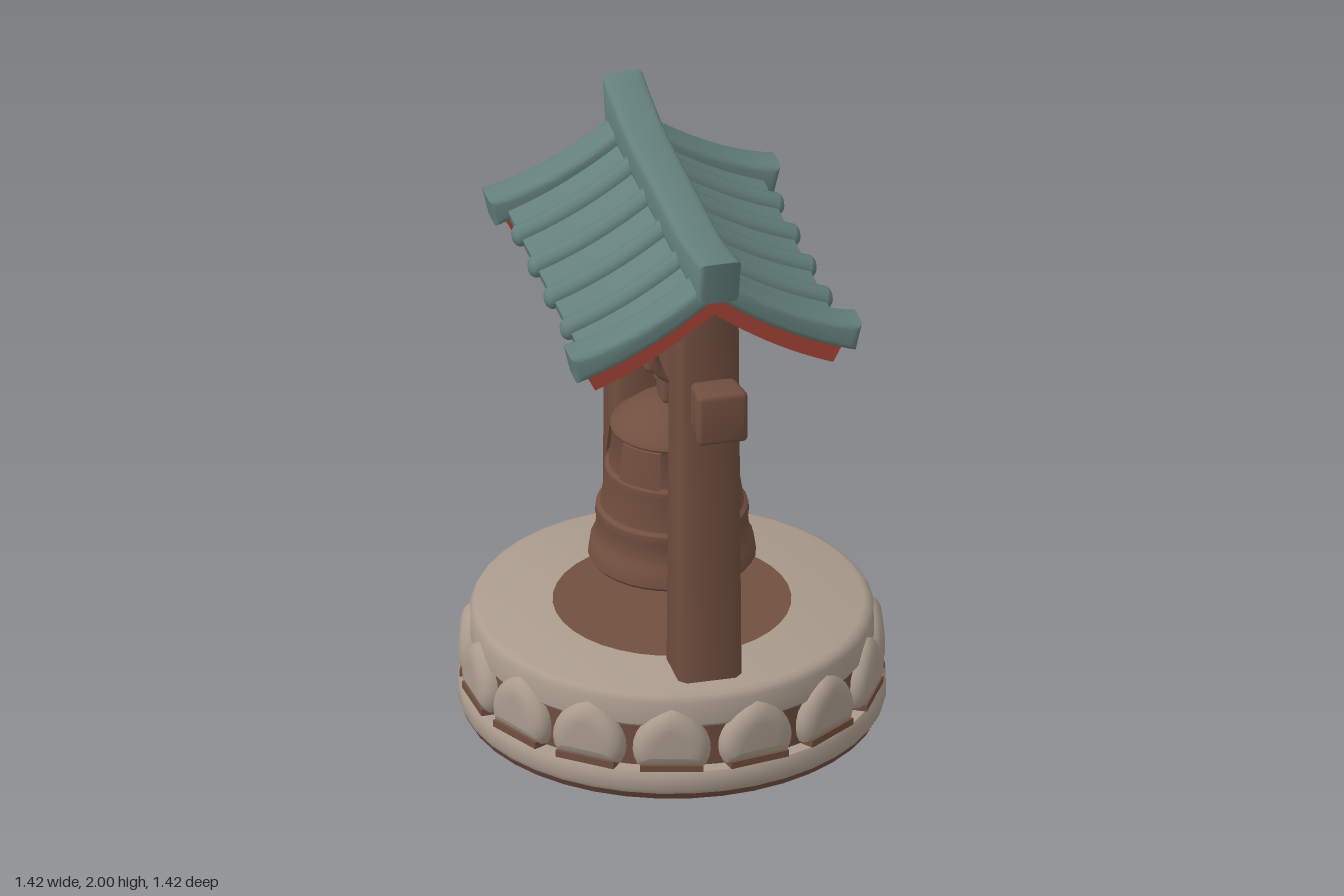
import * as THREE from 'three';
import { toCreasedNormals } from 'three/addons/utils/BufferGeometryUtils.js';
import { RoundedBoxGeometry } from 'three/addons/geometries/RoundedBoxGeometry.js';

function paint(name, color) {
  const m = new THREE.MeshStandardMaterial({ color, side: THREE.DoubleSide });
  m.name = name;
  return m;
}

const V2 = (x, y) => new THREE.Vector2(x, y);
const V3 = (x, y, z) => new THREE.Vector3(x, y, z);

export function createModel() {
  const stone = paint('stone', 0xaa9b8d);
  const wood = paint('brown', 0x714f3f);
  const tile = paint('teal tile', 0x64807c);
  const red = paint('red trim', 0xa34434);

  const model = new THREE.Group();
  const add = (name, geo, mat, x = 0, y = 0, z = 0) => {
    const mesh = new THREE.Mesh(geo, mat);
    mesh.name = name;
    mesh.position.set(x, y, z);
    model.add(mesh);
    return mesh;
  };
  const lathe = (pts, seg = 40, start = 0, len = Math.PI * 2) =>
    toCreasedNormals(new THREE.LatheGeometry(pts.map(p => V2(...p)), seg, start, len), 0.7);
  const extrude = (shape, depth, bevel) => {
    const g = new THREE.ExtrudeGeometry(shape, {
      depth: depth - 2 * bevel, bevelEnabled: bevel > 0, bevelThickness: bevel,
      bevelSize: bevel, bevelOffset: -bevel, bevelSegments: 3, curveSegments: 8,
    });
    g.translate(0, 0, bevel - depth / 2);
    return toCreasedNormals(g, 0.7);
  };
  // Move every vertex by a rule, then refresh the normals
  const reshape = (geo, rule, crease = 0.6) => {
    const p = geo.attributes.position, v = V3(0, 0, 0);
    for (let i = 0; i < p.count; i++) {
      rule(v.fromBufferAttribute(p, i));
      p.setXYZ(i, v.x, v.y, v.z);
    }
    geo.computeVertexNormals();
    return toCreasedNormals(geo, crease);
  };

  // Hollow round base
  add('baseFootEdge', lathe([[0.69, 0], [0.703, 0.025]]), wood);
  add('baseFoot', lathe([[0.645, 0.1], [0.645, 0.012], [0.655, 0.003], [0.69, 0.003], [0.702, 0.025], [0.708, 0.04],
    [0.708, 0.085], [0.697, 0.103], [0.65, 0.103]]), stone);
  add('drumBand', lathe([[0.652, 0.1], [0.656, 0.25]]), wood);
  add('drum', lathe([[0.656, 0.25], [0.668, 0.262], [0.668, 0.345], [0.655, 0.365], [0.635, 0.372], [0, 0.372]]), stone);
  add('drumInside', lathe([[0.645, 0.05], [0.645, 0.35], [0, 0.35]]), stone);
  add('floorPatch', new THREE.CircleGeometry(0.395, 36).rotateX(-Math.PI / 2), wood, 0, 0.376, 0);
  add('floorPatchBelow', new THREE.CircleGeometry(0.395, 36).rotateX(Math.PI / 2), wood, 0, 0.346, 0);

  // Lotus petals around the drum, hollow behind
  const petal = (w, h) => {
    const s = new THREE.Shape();
    s.moveTo(-w * 0.84, 0);
    s.lineTo(w * 0.84, 0);
    s.bezierCurveTo(w * 1.16, h * 0.3, w * 0.9, h * 0.8, 0, h);
    s.bezierCurveTo(-w * 0.9, h * 0.8, -w * 1.16, h * 0.3, -w * 0.84, 0);
    return s;
  };
  const petalGeo = reshape(new THREE.ExtrudeGeometry(petal(0.133, 0.212), {
    depth: 0.012, bevelThickness: 0.047, bevelSize: 0.06, bevelOffset: -0.06, bevelSegments: 5, curveSegments: 8,
  }), v => { v.z = Math.max(v.z, 0); }, 0.9);
  const hollowGeo = new THREE.ShapeGeometry(petal(0.115, 0.2), 8);
  const rimGeo = new THREE.BoxGeometry(0.21, 0.024, 0.05);
  for (let i = 0; i < 15; i++) {
    const t = THREE.MathUtils.degToRad(12 + 24 * i);
    const a = t - 0.03 * Math.cos(t) + 0.037 * Math.sin(t), s = Math.sin(a), c = Math.cos(a);
    add('petal', petalGeo, stone, s * 0.643, 0.113, c * 0.643).rotation.y = a;
    add('petalHollow', hollowGeo, wood, s * 0.627, 0.105, c * 0.627).rotation.y = a;
    add('petalRim', rimGeo, wood, s * 0.67, 0.115, c * 0.67).rotation.y = a;
  }

  // Chamfered, tapering posts
  const rect = (w, d, c) => new THREE.Shape([
    V2(-w + c, -d), V2(w - c, -d), V2(w, -d + c), V2(w, d - c),
    V2(w - c, d), V2(-w + c, d), V2(-w, d - c), V2(-w, -d + c)]);
  const postGeo = reshape(extrude(rect(0.108, 0.104, 0.025), 1.45, 0).rotateX(-Math.PI / 2), v => {
    const t = (v.y + 0.725) / 1.45;
    v.x *= 1 - 0.06 * t;
    v.z *= 1 - 0.2 * t;
  }, 0.9);
  for (const s of [1, -1]) add('post', postGeo, wood, -0.008 * s, 1.055, 0.468 * s);

  // Cross beam with flared ends and centre block
  add('beam', new RoundedBoxGeometry(0.15, 0.165, 1.2, 2, 0.02), wood, 0, 1.412, 0);
  add('beamBlock', new RoundedBoxGeometry(0.24, 0.23, 0.2, 2, 0.025), wood, 0.005, 1.397, 0);
  for (const s of [1, -1]) {
    const end = reshape(new RoundedBoxGeometry(0.175, 0.19, 0.145, 2, 0.02), v => {
      const k = 0.92 + 0.08 * (v.z * s / 0.07);
      v.x *= k;
      v.y *= k;
    });
    add('beamEnd', end, wood, 0.003, 1.415, 0.618 * s);

    // Rope loop around the beam and the strand down to the bell
    const loop = new THREE.TorusGeometry(0.11, 0.019, 8, 24).rotateX(0.06 * s);
    add('ropeLoop', loop, wood, 0.005, 1.395, 0.165 * s);
    for (const x of [0.025, -0.025]) {
      const strand = new THREE.LineCurve3(V3(x * 1.6, 1.3, 0.175 * s), V3(x, 1.17, 0.075 * s));
      add('ropeStrand', new THREE.TubeGeometry(strand, 1, 0.015, 8), wood);
    }
  }

  // Bell
  add('bell', lathe([[0, 1.135], [0.09, 1.135], [0.125, 1.115], [0.165, 1.08], [0.2, 1.055], [0.206, 1.04],
    [0.198, 1.025], [0.21, 0.9], [0.223, 0.89], [0.225, 0.87], [0.222, 0.855], [0.238, 0.75],
    [0.252, 0.74], [0.255, 0.715], [0.25, 0.7], [0.257, 0.63], [0.27, 0.615], [0.278, 0.56],
    [0.27, 0.55], [0.25, 0.55], [0.235, 0.65], [0.2, 0.88], [0.17, 1.04], [0, 1.09]], 32), wood);
  for (let i = 0; i < 4; i++) {
    add('bellPanel', lathe([[0.19, 1.035], [0.208, 1.03], [0.222, 0.9], [0.205, 0.89]], 6,
      Math.PI / 4 + i * Math.PI / 2 - 0.36, 0.72), wood);
  }
  const crown = new THREE.CatmullRomCurve3([V3(0, 1.11, 0.085), V3(0, 1.165, 0.075), V3(0, 1.19, 0.04),
    V3(0, 1.19, -0.04), V3(0, 1.165, -0.075), V3(0, 1.11, -0.085)]);
  add('bellCrown', new THREE.TubeGeometry(crown, 20, 0.024, 8), wood);
  add('bellHanger', new RoundedBoxGeometry(0.09, 0.11, 0.105, 2, 0.02), wood, 0, 1.19, 0);

  // Roof: every layer follows one sagging curve
  const sag = x => 1.83 - 0.78 * Math.abs(x) + 0.5 * x * x;
  const roofLayer = (lowEnd, low, highEnd, high, flare = 0) => {
    const pts = [], n = 16;
    for (let i = -n; i <= n; i++) pts.push(V2(lowEnd * i / n, sag(lowEnd * i / n) + low));
    for (let i = n; i >= -n; i--) {
      const x = highEnd * i / n;
      pts.push(V2(x, sag(x) + high + flare * (i / n) ** 4));
    }
    return new THREE.Shape(pts);
  };
  add('roofSheet', extrude(roofLayer(0.425, 0, 0.435, 0.045), 1.04, 0), tile);
  add('roofTrimSheet', extrude(roofLayer(0.405, -0.025, 0.42, 0), 1.04, 0), red);
  add('roofCeiling', extrude(roofLayer(0.39, -0.033, 0.39, -0.025), 1.02, 0), wood);
  for (const s of [1, -1]) {
    add('roofEndTile', extrude(roofLayer(0.475, 0, 0.497, 0.088, 0.015), 0.125, 0.02), tile, 0, 0, 0.555 * s);
    add('roofRafter', extrude(roofLayer(0.405, -0.075, 0.44, 0.005), 0.07, 0), red, 0, 0, 0.54 * s);
  }

  // Rounded tile ribs on both slopes
  for (const z of [-0.33, -0.11, 0.11, 0.33]) {
    for (const s of [1, -1]) {
      const path = [0.03, 0.13, 0.23, 0.33, 0.435].map(x => V3(s * x, sag(x) + 0.043, z));
      add('tileRib', new THREE.TubeGeometry(new THREE.CatmullRomCurve3(path), 14, 0.039, 10), tile);
      const tip = path[4];
      add('tileRibTip', new THREE.SphereGeometry(0.039, 12, 8).scale(0.75, 1, 1), tile, tip.x, tip.y, tip.z);
    }
  }

  // Upswept ridge
  const ridge = new THREE.Shape();
  ridge.moveTo(-0.645, 1.835);
  ridge.quadraticCurveTo(-0.4, 1.825, 0, 1.825);
  ridge.quadraticCurveTo(0.4, 1.825, 0.645, 1.835);
  ridge.lineTo(0.68, 2);
  ridge.quadraticCurveTo(0.42, 1.943, 0.28, 1.943);
  ridge.lineTo(-0.28, 1.943);
  ridge.quadraticCurveTo(-0.42, 1.943, -0.68, 2);
  add('ridge', extrude(ridge, 0.14, 0.02).rotateY(Math.PI / 2), tile);

  return model;
}
